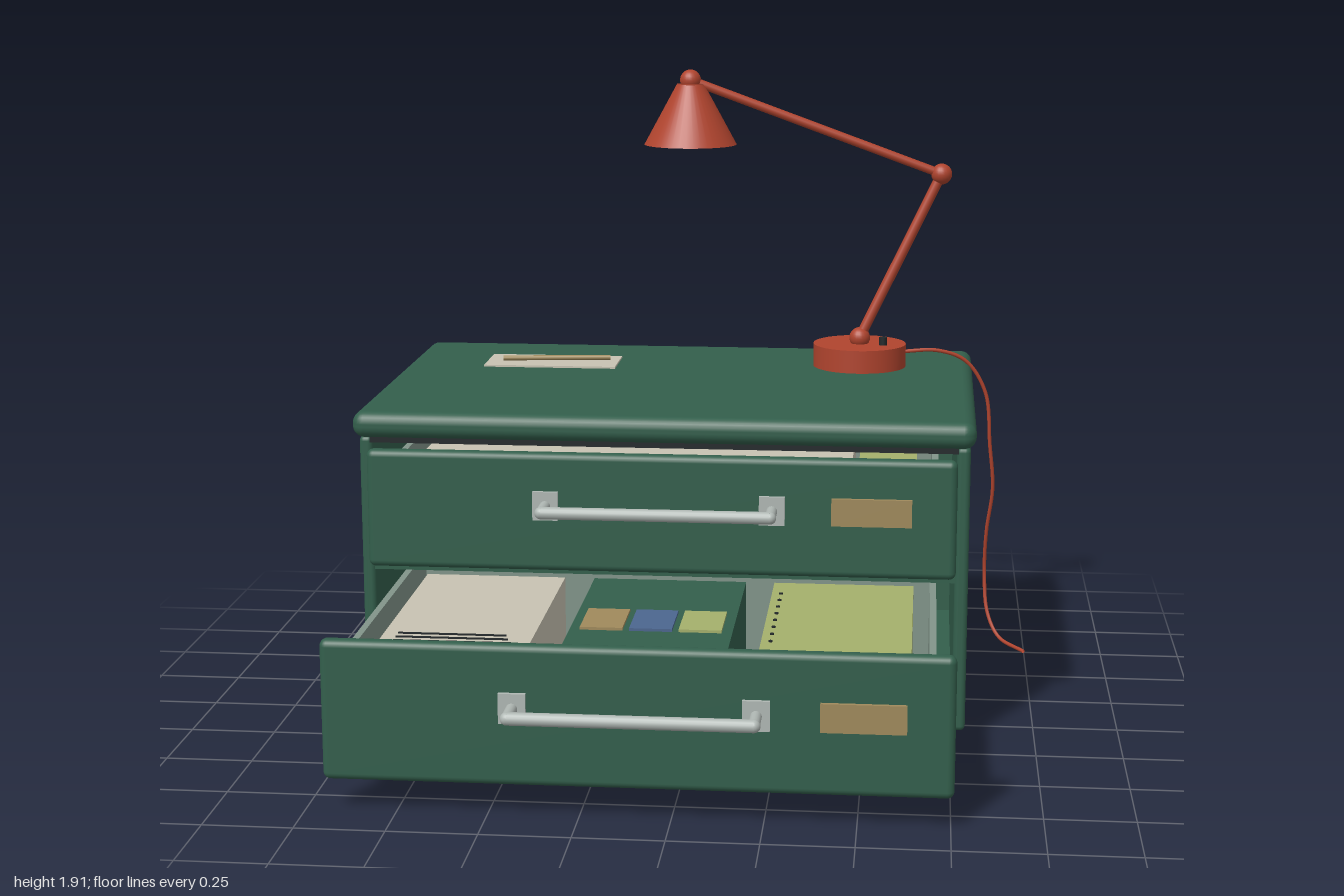
import * as THREE from 'three';
import { RoundedBoxGeometry } from 'three/addons/geometries/RoundedBoxGeometry.js';

const mat = (name, color, side = THREE.FrontSide) => {
  const m = new THREE.MeshStandardMaterial({ color, side });
  m.name = name;
  return m;
};

export function createModel() {
  const green = mat('cabinet green', 0x335f4c);
  const red = mat('lamp red', 0xb0442e, THREE.DoubleSide);
  const paper = mat('paper beige', 0xc8c3b2);
  const silver = mat('handle silver', 0xb0b8b4);
  const sage = mat('drawer grey green', 0x82958a);
  const tan = mat('label tan', 0xa08a5c);
  const yellow = mat('notebook yellow', 0xa5b06c);
  const blue = mat('card blue', 0x4c668f);
  const black = mat('rubber black', 0x22282a);

  const model = new THREE.Group();
  model.name = 'drawerCabinetWithLamp';

  const group = (name, parent = model) => {
    const g = new THREE.Group();
    g.name = name;
    parent.add(g);
    return g;
  };
  const add = (parent, name, geo, material, x = 0, y = 0, z = 0) => {
    const m = new THREE.Mesh(geo, material);
    m.name = name;
    m.position.set(x, y, z);
    parent.add(m);
    return m;
  };
  // box given by its limits, optionally with rounded edges
  const box = (parent, name, material, [x0, x1], [y0, y1], [z0, z1], r = 0) => {
    const s = [x1 - x0, y1 - y0, z1 - z0];
    const geo = r ? new RoundedBoxGeometry(...s, 3, r) : new THREE.BoxGeometry(...s);
    return add(parent, name, geo, material, (x0 + x1) / 2, (y0 + y1) / 2, (z0 + z1) / 2);
  };
  // round bar between two points
  const rod = (parent, name, material, a, b, r) => {
    const p = new THREE.Vector3(...a), q = new THREE.Vector3(...b);
    const d = q.clone().sub(p);
    const m = add(parent, name, new THREE.CylinderGeometry(r, r, d.length(), 16), material);
    m.position.copy(p).add(q).multiplyScalar(0.5);
    m.quaternion.setFromUnitVectors(new THREE.Vector3(0, 1, 0), d.normalize());
    return m;
  };

  // cabinet shell
  const cabinet = group('cabinet');
  box(cabinet, 'top', green, [-1, 0.81], [0.892, 0.97], [-0.975, 0.218], 0.035);
  box(cabinet, 'topGasket', black, [-0.95, 0.76], [0.878, 0.897], [-0.94, 0.195]);
  box(cabinet, 'rightSide', green, [-0.99, -0.95], [0.036, 0.888], [-0.968, 0.16], 0.015);
  box(cabinet, 'leftSide', green, [0.755, 0.795], [0.036, 0.888], [-0.968, 0.16], 0.015);
  box(cabinet, 'back', green, [-0.98, 0.785], [0.045, 0.888], [-0.968, -0.93], 0.01);
  box(cabinet, 'bottom', green, [-0.985, 0.79], [0.036, 0.085], [-0.966, 0.158], 0.012);
  box(cabinet, 'divider', green, [-0.96, 0.765], [0.485, 0.52], [-0.94, 0.155]);
  for (const x of [-0.82, 0.63]) for (const z of [-0.77, 0.015])
    add(cabinet, 'foot', new THREE.CylinderGeometry(0.05, 0.046, 0.045, 24), black, x, 0.0225, z);

  // drawer: front panel, walls, floor, lining, handle and label
  const makeDrawer = (name, [py0, py1], [by0, by1], zFront, handleY) => {
    const g = group(name);
    const zBack = zFront - 0.046, zRear = zFront - 1.1;
    box(g, 'frontPanel', green, [-0.95, 0.758], [py0, py1], [zBack, zFront], 0.02);
    box(g, 'floor', paper, [-0.893, 0.702], [by0, by0 + 0.018], [zRear, zBack]);
    box(g, 'lining', sage, [-0.838, 0.655], [by0 + 0.018, by0 + 0.026], [zRear + 0.03, zBack]);
    box(g, 'rightWall', sage, [-0.895, -0.876], [by0 + 0.014, by1], [zRear, zBack]);
    box(g, 'leftWall', sage, [0.685, 0.704], [by0 + 0.014, by1], [zRear, zBack]);
    box(g, 'rearWall', sage, [-0.895, 0.704], [by0 + 0.014, by1], [zRear, zRear + 0.02]);
    box(g, 'innerWall', sage, [-0.895, 0.704], [by0 + 0.014, by1], [zBack - 0.016, zBack + 0.005]);

    const handle = group('handle', g), zBar = zFront + 0.09;
    for (const x of [-0.425, 0.23]) {
      box(handle, 'mount', silver, [x - 0.037, x + 0.037], [handleY - 0.042, handleY + 0.042], [zFront - 0.005, zFront + 0.012]);
      rod(handle, 'post', silver, [x, handleY, zFront], [x, handleY, zBar], 0.016);
      add(handle, 'elbow', new THREE.SphereGeometry(0.018, 16, 12), silver, x, handleY, zBar);
    }
    rod(handle, 'bar', silver, [-0.425, handleY, zBar], [0.23, handleY, zBar], 0.018);
    box(g, 'label', tan, [0.4, 0.63], [handleY - 0.04, handleY + 0.04], [zFront - 0.005, zFront + 0.012]);
    return g;
  };

  const upper = makeDrawer('upperDrawer', [0.518, 0.868], [0.53, 0.82], 0.253, 0.715);
  box(upper, 'paperStack', paper, [-0.838, 0.45], [0.556, 0.8], [-0.4, 0.18]);
  box(upper, 'notebook', yellow, [0.47, 0.64], [0.556, 0.8], [-0.4, 0.18]);

  const lower = makeDrawer('lowerDrawer', [0.088, 0.483], [0.1, 0.44], 0.868, 0.31);
  const yTop = 0.415, flat = [yTop, yTop + 0.004];
  box(lower, 'paperStack', paper, [-0.838, -0.415], [0.126, yTop], [-0.05, 0.797]);
  [[0.565, -0.49], [0.6, -0.48], [0.635, -0.465], [0.67, -0.55], [0.705, -0.49]].forEach(([z, x1]) =>
    box(lower, 'textLine', black, [-0.797, x1], flat, [z - 0.003, z + 0.003]));
  box(lower, 'folder', green, [-0.325, 0.135], [0.126, yTop], [-0.05, 0.745]);
  [tan, blue, yellow].forEach((m, i) =>
    box(lower, 'card', m, [-0.296 + i * 0.14, -0.175 + i * 0.14], [yTop, yTop + 0.008], [0.295, 0.482]));
  box(lower, 'notebook', yellow, [0.22, 0.637], [0.126, yTop], [-0.05, 0.732]);
  for (let i = 0; i < 8; i++)
    add(lower, 'bindingHole', new THREE.CylinderGeometry(0.006, 0.006, 0.004, 10), black, 0.247, yTop + 0.002, 0.548 - i * 0.068);

  // note and pencil on the top
  box(model, 'note', paper, [-0.74, -0.32], [0.968, 0.976], [-0.715, -0.525]);
  rod(model, 'pencil', tan, [-0.69, 0.984, -0.605], [-0.35, 0.984, -0.647], 0.008);

  // desk lamp
  const lamp = group('lamp');
  const lathe = (pts) => new THREE.LatheGeometry(pts.map(p => new THREE.Vector2(...p)), 40);
  const base = [0.45, 1.06, -0.66], elbow = [0.7, 1.58, -0.7], head = [-0.087, 1.875, -0.615];
  add(lamp, 'base', new THREE.CylinderGeometry(0.147, 0.147, 0.072, 40), red, 0.45, 1.006, -0.66);
  add(lamp, 'switch', new THREE.CylinderGeometry(0.013, 0.013, 0.03, 12), black, 0.525, 1.052, -0.63);
  for (const p of [base, elbow, head])
    add(lamp, 'joint', new THREE.SphereGeometry(0.033, 20, 14), red, ...p);
  rod(lamp, 'lowerArm', red, base, elbow, 0.016);
  rod(lamp, 'upperArm', red, elbow, head, 0.014);
  add(lamp, 'shade', lathe([[0.145, 1.675], [0.043, 1.862]]), red, head[0], 0, head[2]);
  add(lamp, 'shadeCap', new THREE.CylinderGeometry(0.043, 0.043, 0.006, 32), red, head[0], 1.86, head[2]);
  add(lamp, 'bulb', new THREE.SphereGeometry(0.04, 20, 14), paper, head[0], 1.725, head[2]);

  // power cord hanging over the side
  const path = [
    [0.58, 1.01, -0.695], [0.7, 1.012, -0.715], [0.79, 0.975, -0.735], [0.855, 0.87, -0.748],
    [0.873, 0.7, -0.75], [0.886, 0.55, -0.765], [0.87, 0.4, -0.79], [0.867, 0.26, -0.81],
    [0.878, 0.13, -0.775], [0.915, 0.06, -0.725], [0.994, 0.04, -0.632],
  ].map(p => new THREE.Vector3(...p));
  add(lamp, 'cord', new THREE.TubeGeometry(new THREE.CatmullRomCurve3(path), 80, 0.006, 8), red);

  return model;
}
